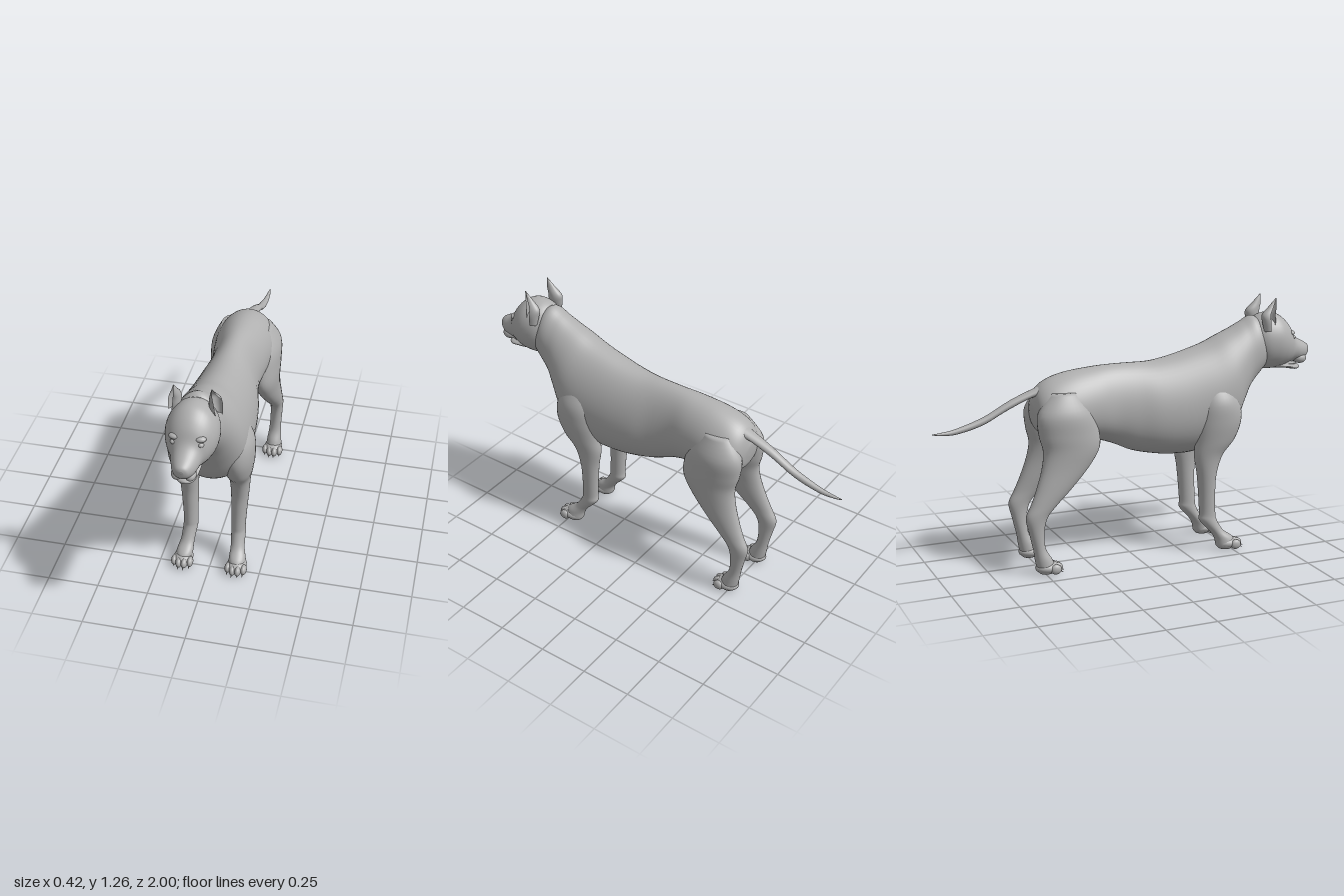
import * as THREE from 'three';

const coat = new THREE.MeshStandardMaterial({ color: 0xb0b0b0, side: THREE.DoubleSide });
coat.name = 'greyCoat';

// Smooth interpolation of one number between rows of a section list
function spline(rows, i, t, k) {
  const at = (n) => rows[Math.min(Math.max(n, 0), rows.length - 1)][k] ?? 0;
  const [a, b, c, d] = [at(i - 1), at(i), at(i + 1), at(i + 2)];
  return b + 0.5 * t * (c - a + t * (2 * a - 5 * b + 4 * c - d + t * (3 * (b - c) + d - a)));
}

function refine(rows, steps) {
  const out = [];
  for (let i = 0; i < rows.length - 1; i++)
    for (let s = 0; s < steps; s++)
      out.push([0, 1, 2, 3, 4, 5].map((k) => spline(rows, i, s / steps, k)));
  out.push([0, 1, 2, 3, 4, 5].map((k) => rows.at(-1)[k] ?? 0));
  return out;
}

// Closed skin over oval sections: [z1, y1, z2, y2, halfWidth, centreX]
// egg shifts the widest part towards the second point
function loft(name, sections, side = 1, egg = 0, sides = 32) {
  const rows = refine(sections, 5);
  const pos = [], idx = [];
  for (const [z1, y1, z2, y2, w, x] of rows) {
    for (let j = 0; j < sides; j++) {
      const a = (j / sides) * Math.PI * 2, s = Math.sin(a);
      pos.push(
        side * (x + w * Math.cos(a) * (1 - egg * s)),
        (y1 + y2) / 2 + ((y1 - y2) / 2) * s,
        (z1 + z2) / 2 + ((z1 - z2) / 2) * s);
    }
  }
  for (let i = 0; i < rows.length - 1; i++)
    for (let j = 0; j < sides; j++) {
      const a = i * sides + j, b = i * sides + (j + 1) % sides;
      idx.push(a, b, a + sides, b, b + sides, a + sides);
    }
  // End caps
  for (const [row, end] of [[rows[0], 0], [rows.at(-1), 1]]) {
    const c = pos.length / 3, base = end * (rows.length - 1) * sides;
    pos.push(side * row[5], (row[1] + row[3]) / 2, (row[0] + row[2]) / 2);
    for (let j = 0; j < sides; j++) {
      const a = base + j, b = base + (j + 1) % sides;
      idx.push(...(end ? [a, b, c] : [b, a, c]));
    }
  }
  // Turn the faces outwards whatever the direction of the sections
  const p = (n) => new THREE.Vector3().fromArray(pos, n * 3);
  let volume = 0;
  for (let n = 0; n < idx.length; n += 3)
    volume += p(idx[n]).dot(p(idx[n + 1]).cross(p(idx[n + 2])));
  if (volume < 0) idx.reverse();
  const g = new THREE.BufferGeometry();
  g.setAttribute('position', new THREE.Float32BufferAttribute(pos, 3));
  g.setIndex(idx);
  g.computeVertexNormals();
  const mesh = new THREE.Mesh(g, coat);
  mesh.name = name;
  return mesh;
}

function ball(name, x, y, z, rx, ry, rz) {
  const mesh = new THREE.Mesh(new THREE.SphereGeometry(1, 20, 14), coat);
  mesh.name = name;
  mesh.position.set(x, y, z);
  mesh.scale.set(rx, ry, rz);
  return mesh;
}

// Cupped ear, open to the front and outside; rings are [y, x, z, rx, rz]
function ear(side) {
  const rows = refine([
    [1.10, 0.098, 0.725, 0.022, 0.030], [1.15, 0.092, 0.722, 0.030, 0.037],
    [1.185, 0.088, 0.722, 0.026, 0.038], [1.22, 0.085, 0.742, 0.015, 0.024],
    [1.265, 0.084, 0.764, 0.001, 0.002]], 5);
  const n = 20, pos = [], idx = [];
  rows.forEach(([y, x, z, rx, rz], i) => {
    for (let j = 0; j <= n; j++) {
      const a = 1.5 + (j / n) * 4.7;
      pos.push(side * (x + rx * Math.cos(a)), y, z + rz * Math.sin(a));
      if (i && j) {
        const q = i * (n + 1) + j, r = q - n - 1;
        idx.push(...(side > 0 ? [r - 1, q - 1, r, r, q - 1, q] : [r - 1, r, q - 1, r, q, q - 1]));
      }
    }
  });
  const g = new THREE.BufferGeometry();
  g.setAttribute('position', new THREE.Float32BufferAttribute(pos, 3));
  g.setIndex(idx);
  g.computeVertexNormals();
  const mesh = new THREE.Mesh(g, coat);
  mesh.name = 'ear';
  return mesh;
}

// Pad with four toes and claws; z is the front edge of the paw
function paw(name, x, z) {
  const group = new THREE.Group();
  group.name = name;
  group.add(ball('pad', x, 0.03, z - 0.08, 0.048, 0.03, 0.062));
  for (let i = 0; i < 4; i++) {
    const off = i - 1.5, tx = x + off * 0.026, tz = z - 0.034 - (Math.abs(off) > 1 ? 0.016 : 0);
    group.add(ball('toe', tx, 0.026, tz, 0.016, 0.025, 0.028));
    const claw = new THREE.Mesh(new THREE.ConeGeometry(0.006, 0.026, 8), coat);
    claw.name = 'claw';
    claw.position.set(tx, 0.014, tz + 0.026);
    claw.rotation.x = 2.0;
    group.add(claw);
  }
  return group;
}

export function createModel() {
  const dog = new THREE.Group();
  dog.name = 'dog';

  // Body from rump to neck
  dog.add(loft('body', [
    [-0.512, 0.82, -0.508, 0.76, 0.03], [-0.487, 0.885, -0.49, 0.69, 0.10],
    [-0.43, 0.93, -0.43, 0.65, 0.138], [-0.33, 0.96, -0.33, 0.62, 0.15],
    [-0.2, 0.975, -0.2, 0.615, 0.137], [-0.1, 0.98, -0.1, 0.585, 0.125],
    [0, 0.98, 0, 0.54, 0.135], [0.1, 0.98, 0.1, 0.515, 0.157],
    [0.2, 0.995, 0.2, 0.5, 0.17], [0.3, 1.02, 0.32, 0.5, 0.178],
    [0.4, 1.05, 0.46, 0.535, 0.182], [0.48, 1.085, 0.54, 0.605, 0.172],
    [0.55, 1.115, 0.59, 0.71, 0.148], [0.61, 1.145, 0.635, 0.8, 0.125],
    [0.67, 1.172, 0.71, 0.885, 0.108], [0.73, 1.13, 0.76, 0.93, 0.08]], 1, 0.12, 48));

  dog.add(loft('tail', [
    [-0.40, 0.93, -0.44, 0.83, 0.06], [-0.47, 0.9, -0.5, 0.85, 0.034],
    [-0.61, 0.845, -0.63, 0.797, 0.024], [-0.745, 0.775, -0.755, 0.735, 0.02],
    [-0.88, 0.73, -0.88, 0.703, 0.014], [-0.96, 0.717, -0.96, 0.703, 0.008],
    [-1, 0.714, -1, 0.71, 0.002]]));

  // Head with muzzle, open jaw and nose
  dog.add(loft('head', [
    [0.65, 1.13, 0.67, 0.95, 0.08], [0.71, 1.175, 0.72, 0.9, 0.112],
    [0.78, 1.183, 0.78, 0.893, 0.12], [0.83, 1.16, 0.83, 0.9, 0.11],
    [0.87, 1.12, 0.865, 0.91, 0.09], [0.9, 1.068, 0.89, 0.918, 0.07],
    [0.93, 1.04, 0.93, 0.92, 0.06], [0.968, 1.02, 0.96, 0.925, 0.048],
    [0.992, 1.005, 0.985, 0.942, 0.031], [0.999, 0.99, 0.995, 0.958, 0.012]], 1, 0, 40));
  dog.add(loft('lowerJaw', [
    [0.79, 0.94, 0.79, 0.895, 0.055], [0.86, 0.915, 0.86, 0.888, 0.052],
    [0.915, 0.906, 0.915, 0.877, 0.044], [0.94, 0.902, 0.94, 0.879, 0.028],
    [0.949, 0.896, 0.949, 0.886, 0.008]]));
  dog.add(ball('tongue', 0, 0.908, 0.89, 0.028, 0.008, 0.045));
  dog.add(ball('nose', 0, 0.984, 0.978, 0.029, 0.021, 0.021));

  for (const side of [1, -1]) {
    dog.add(ear(side));
    dog.add(ball('eye', side * 0.06, 1.054, 0.879, 0.015, 0.011, 0.014));
    dog.add(ball('brow', side * 0.055, 1.077, 0.868, 0.028, 0.014, 0.02));
    dog.add(ball('upperLip', side * 0.03, 0.936, 0.94, 0.026, 0.026, 0.036));

    // Shoulder down to wrist and front paw
    dog.add(loft('frontLeg', [
      [0.48, 0.88, 0.36, 0.88, 0.045, 0.1], [0.535, 0.78, 0.325, 0.78, 0.079, 0.122],
      [0.55, 0.68, 0.31, 0.68, 0.079, 0.129], [0.515, 0.58, 0.305, 0.58, 0.065, 0.13],
      [0.452, 0.5, 0.3, 0.5, 0.051, 0.127], [0.42, 0.4, 0.318, 0.4, 0.044, 0.125],
      [0.416, 0.3, 0.328, 0.3, 0.039, 0.122], [0.42, 0.2, 0.335, 0.2, 0.035, 0.12],
      [0.427, 0.16, 0.336, 0.16, 0.036, 0.121], [0.462, 0.1, 0.39, 0.1, 0.034, 0.126],
      [0.515, 0.06, 0.415, 0.06, 0.04, 0.132], [0.53, 0.02, 0.425, 0.02, 0.043, 0.135],
      [0.51, 0.003, 0.44, 0.003, 0.03, 0.135]], side));
    dog.add(paw('frontPaw', side * 0.135, 0.566));

    // Thigh down to hock and hind paw
    dog.add(loft('hindLeg', [
      [-0.3, 0.88, -0.44, 0.88, 0.05, 0.08], [-0.235, 0.78, -0.51, 0.78, 0.078, 0.098],
      [-0.205, 0.68, -0.508, 0.68, 0.078, 0.102], [-0.205, 0.6, -0.49, 0.6, 0.069, 0.108],
      [-0.26, 0.515, -0.503, 0.515, 0.056, 0.117], [-0.35, 0.42, -0.535, 0.42, 0.046, 0.126],
      [-0.425, 0.35, -0.565, 0.35, 0.038, 0.132], [-0.48, 0.29, -0.592, 0.29, 0.034, 0.134],
      [-0.5, 0.22, -0.578, 0.22, 0.031, 0.133], [-0.495, 0.13, -0.557, 0.13, 0.031, 0.13],
      [-0.462, 0.07, -0.548, 0.07, 0.038, 0.13], [-0.445, 0.02, -0.537, 0.02, 0.041, 0.13],
      [-0.46, 0.003, -0.525, 0.003, 0.03, 0.13]], side));
    dog.add(paw('hindPaw', side * 0.13, -0.405));
  }
  return dog;
}
